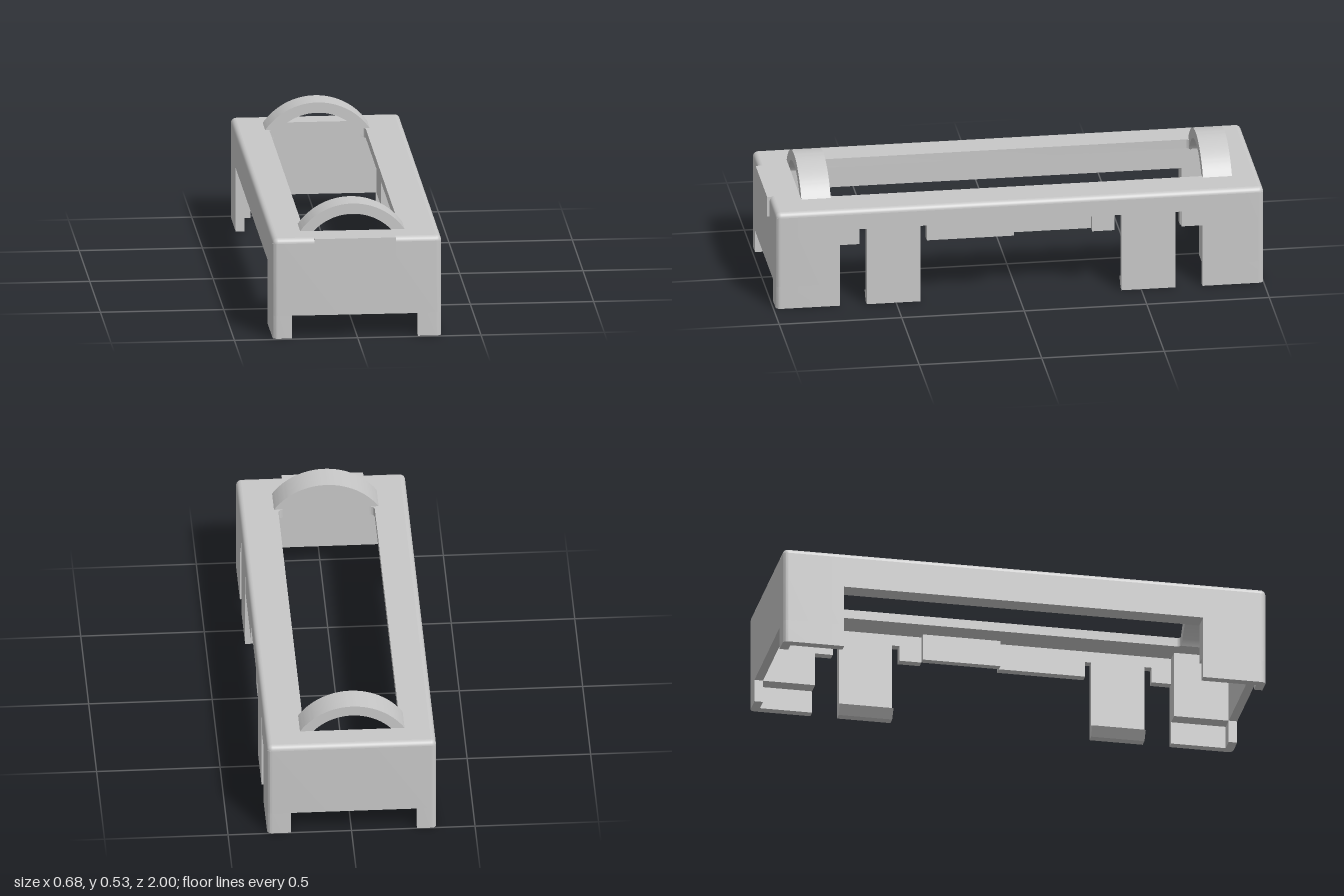
import * as THREE from 'three';
import { toCreasedNormals } from 'three/addons/utils/BufferGeometryUtils.js';

const X0 = -0.343, X1 = 0.341, Z0 = -1, Z1 = 0.99; // outer footprint
const T = 0.035, R = 0.022, ROUND = 0.02;          // thin wall, corner radius, top rounding
const IN0 = -0.266, IN1 = 0.246;                   // inner faces of the thick side walls
const TOP = 0.415, EAVE = TOP - ROUND, UNDER = TOP - 0.038, OPEN = 0.265, SLOT = 0.33;

export function createModel() {
  const grey = new THREE.MeshStandardMaterial({ color: 0xc8c8c8 });
  grey.name = 'grey plastic';
  const model = new THREE.Group();
  model.name = 'clipOnFrame';

  const add = (name, geometry) => {
    const mesh = new THREE.Mesh(geometry, grey);
    mesh.name = name;
    model.add(mesh);
    return mesh;
  };
  const block = (name, xa, xb, ya, yb, za, zb) => {
    const g = new THREE.BoxGeometry(xb - xa, yb - ya, zb - za);
    add(name, g).position.set((xa + xb) / 2, (ya + yb) / 2, (za + zb) / 2);
  };
  // Raise a plan shape (x, -z) from height ya to yb
  const raise = (name, shape, ya, yb) => {
    const g = new THREE.ExtrudeGeometry(shape, { depth: yb - ya, bevelEnabled: false, curveSegments: 8 });
    g.rotateX(-Math.PI / 2).translate(0, ya, 0);
    add(name, toCreasedNormals(g, 0.6));
  };
  // Extrude a front-facing shape (x, y) between two z positions
  const alongZ = (name, shape, za, zb) => {
    const g = new THREE.ExtrudeGeometry(shape, { depth: zb - za, bevelEnabled: false, curveSegments: 32 });
    add(name, toCreasedNormals(g.translate(0, 0, za), 0.5));
  };

  // Points of a rounded rectangle, inset from the footprint
  const outline = (inset) => {
    const r = R - inset, pts = [], n = 6;
    const centres = [[X1 - R, Z1 - R], [X0 + R, Z1 - R], [X0 + R, Z0 + R], [X1 - R, Z0 + R]];
    centres.forEach(([cx, cz], q) => {
      for (let i = 0; i <= n; i++) {
        const a = (q + i / n) * Math.PI / 2;
        pts.push([cx + r * Math.cos(a), cz + r * Math.sin(a)]);
      }
    });
    return pts;
  };

  // Top plate with the long opening, which runs on beneath the arches
  const plate = new THREE.Shape(outline(ROUND).map(([x, z]) => new THREE.Vector2(x, -z)));
  const hole = new THREE.Path();
  const c = 0.02, l = -0.205, r = 0.185, f = -0.745, b = 0.775, sl = -0.2, sr = 0.18;
  hole.moveTo(l, f + c).quadraticCurveTo(l, f, l + c, f);
  hole.lineTo(sl, f - 0.003).lineTo(sl, -0.867).lineTo(sr, -0.867).lineTo(sr, f - 0.003);
  hole.lineTo(r - c, f).quadraticCurveTo(r, f, r, f + c);
  hole.lineTo(r, b - c).quadraticCurveTo(r, b, r - c, b);
  hole.lineTo(sr, b + 0.003).lineTo(sr, 0.89).lineTo(sl, 0.89).lineTo(sl, b + 0.003);
  hole.lineTo(l + c, b).quadraticCurveTo(l, b, l, b - c);
  hole.closePath();
  plate.holes.push(hole);
  raise('topPlate', plate, UNDER, TOP);

  // Rounded rim joining the plate to the walls
  const pos = [], idx = [], steps = 6;
  let count = 0;
  for (let k = 0; k <= steps; k++) {
    const a = (k / steps) * Math.PI / 2;
    const loop = outline(ROUND * (1 - Math.sin(a)));
    count = loop.length;
    loop.forEach(([x, z]) => pos.push(x, EAVE + ROUND * Math.cos(a), z));
  }
  for (let k = 0; k < steps; k++) {
    for (let i = 0; i < count; i++) {
      const j = (i + 1) % count, p = k * count, q = p + count;
      idx.push(p + i, p + j, q + i, p + j, q + j, q + i);
    }
  }
  const rim = new THREE.BufferGeometry();
  rim.setAttribute('position', new THREE.Float32BufferAttribute(pos, 3));
  rim.setIndex(idx);
  rim.computeVertexNormals();
  add('roundedRim', rim);

  // End walls with thick side returns, and the thinner corner feet below them
  for (const [end, zOut, zSide, d] of [['front', Z1, 0.73, 1], ['back', Z0, -0.75, -1]]) {
    const zIn = zOut - d * T;
    const u = new THREE.Shape();
    u.moveTo(X0, -zSide).lineTo(IN0, -zSide).lineTo(IN0, -zIn);
    u.lineTo(IN1, -zIn).lineTo(IN1, -zSide).lineTo(X1, -zSide);
    u.lineTo(X1, -(zOut - d * R)).quadraticCurveTo(X1, -zOut, X1 - R, -zOut);
    u.lineTo(X0 + R, -zOut).quadraticCurveTo(X0, -zOut, X0, -(zOut - d * R));
    raise(end + 'Wall', u, 0.095, EAVE);
    for (const [xOut, xEdge, s] of [[X0, -0.265, 1], [X1, 0.245, -1]]) {
      const foot = new THREE.Shape();
      foot.moveTo(xOut, -zSide).lineTo(xOut + s * T, -zSide).lineTo(xOut + s * T, -zIn);
      foot.lineTo(xEdge, -zIn).lineTo(xEdge, -zOut).lineTo(xOut + s * R, -zOut);
      foot.quadraticCurveTo(xOut, -zOut, xOut, -(zOut - d * R));
      raise(end + 'Foot', foot, 0, 0.095);
    }
  }

  // Long side walls: thick and plain on the right, thin and slotted on the left
  block('rightWall', X0, IN0, OPEN, EAVE, -0.75, 0.73);
  block('leftWall', X1 - T, X1, SLOT, EAVE, -0.75, 0.73);
  for (const [za, zb] of [[0.65, 0.73], [0.02, 0.375], [-0.39, -0.3], [-0.75, -0.665]]) {
    block('leftWallSegment', X1 - T, X1, OPEN, SLOT, za, zb);
  }
  block('recessBacking', X1 - T - 0.03, X1 - T, OPEN, UNDER, -0.3, 0.02);

  // Spring clips with inward barbs
  const barb = new THREE.Shape();
  barb.moveTo(X1 - T, 0).lineTo(X1 - T, 0.05).lineTo(X1 - T - 0.028, 0.038);
  for (const [za, zb] of [[0.4, 0.62], [-0.64, -0.42]]) {
    block('clip', X1 - T, X1, 0, SLOT, za, zb);
    alongZ('clipBarb', barb, za, zb);
  }

  // Arches over both ends of the opening, carried down through the plate
  const cx = -0.01, cy = 0.2685, ro = 0.2575, ri = 0.2145;
  const ao = Math.asin((UNDER - cy) / ro), ai = Math.asin((UNDER - cy) / ri);
  const arch = new THREE.Shape();
  arch.absarc(cx, cy, ro, ao, Math.PI - ao, false);
  arch.absarc(cx, cy, ri, Math.PI - ai, ai, true);
  alongZ('frontArch', arch, 0.747, 0.867);
  alongZ('backArch', arch, -0.89, -0.772);

  // Raised tab on the front edge
  block('frontTab', -0.175, 0.155, SLOT, TOP, 0.97, 1);
  return model;
}
